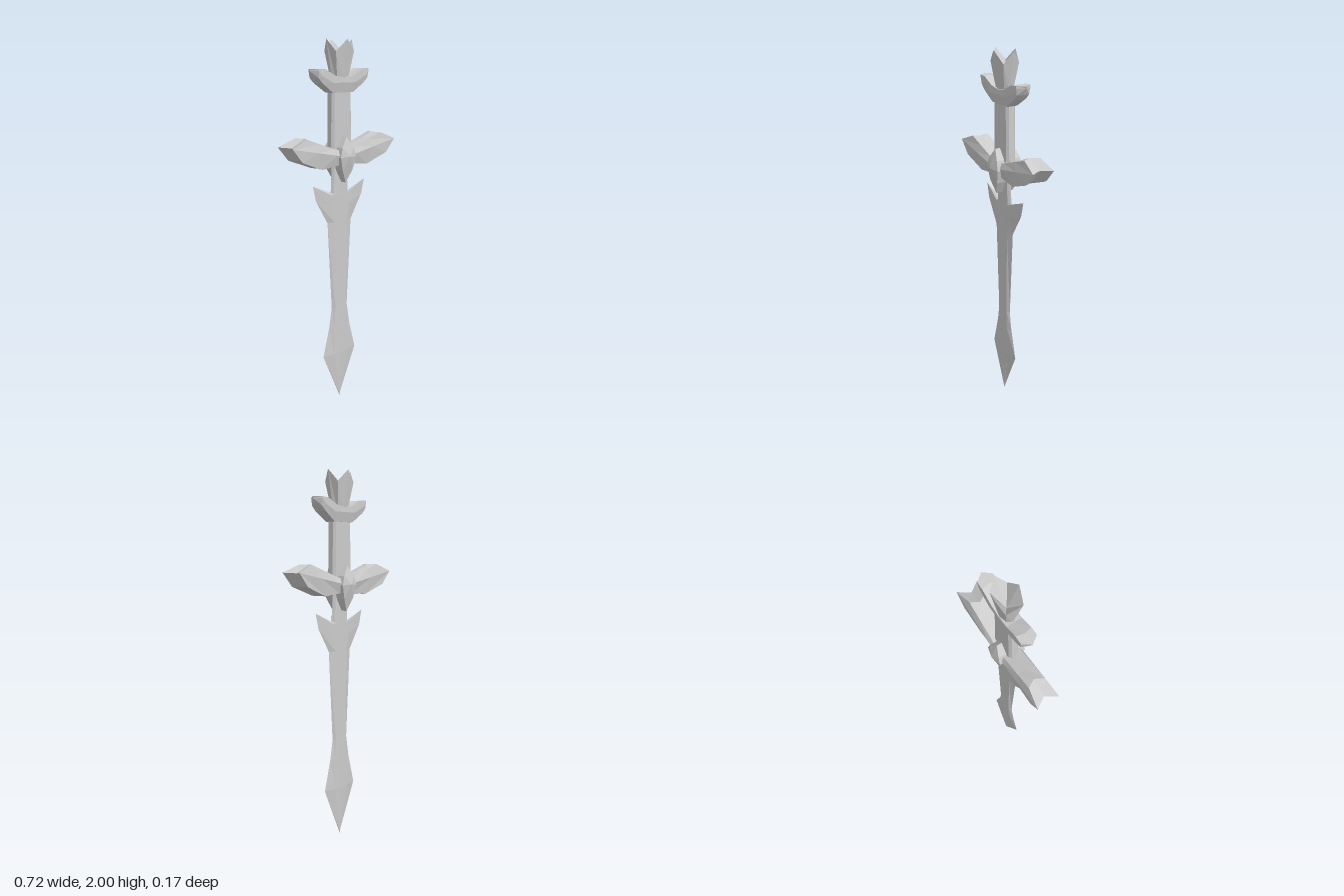
import * as THREE from 'three';

const material = new THREE.MeshStandardMaterial({ color: 0xcccccc, flatShading: true });

// Closed solid through rings of equal length; each end is a fan around its centre point.
function loft(name, rings, startCentre, endCentre) {
  const n = rings[0].length;
  const points = [...rings.flat(), startCentre, endCentre].map((p) => new THREE.Vector3(...p));
  const start = points.length - 2, end = points.length - 1, last = (rings.length - 1) * n;
  const faces = [];
  for (let j = 0; j < n; j++) {
    const k = (j + 1) % n;
    faces.push([start, k, j], [end, last + j, last + k]);
    for (let i = 0; i < rings.length - 1; i++) {
      const a = i * n + j, b = i * n + k;
      faces.push([a, b, b + n], [a, b + n, a + n]);
    }
  }
  // Turn all faces outwards using the signed volume
  let volume = 0;
  for (const [a, b, c] of faces) {
    volume += points[a].dot(new THREE.Vector3().crossVectors(points[b], points[c]));
  }
  if (volume < 0) faces.forEach((f) => f.reverse());
  const geometry = new THREE.BufferGeometry().setFromPoints(faces.flat().map((i) => points[i]));
  geometry.computeVertexNormals();
  const mesh = new THREE.Mesh(geometry, material);
  mesh.name = name;
  return mesh;
}

// Blade: sharp edges, bevels and a slight ridge down the middle
function blade() {
  // edge x, edge y, inner x, inner y
  const rows = [
    [0.005, 0.02, 0.002, 0.02], [0.12, 0.28, 0.05, 0.28], [0.075, 0.45, 0.045, 0.45],
    [0.057, 0.56, 0.04, 0.56], [0.085, 1.05, 0.045, 1.05], [0.165, 1.18, 0.06, 1.14],
    [0.185, 1.262, 0.062, 1.2], [0.062, 1.21, 0.05, 1.21], [0.05, 1.4, 0.04, 1.4],
  ];
  const rings = rows.map(([ex, ey, ix, iy], i) => {
    const z = i === 0 ? 0.003 : 0.012, ridge = i === 0 ? 0.004 : 0.015;
    return [[ex, ey, 0], [ix, iy, z], [0, iy, ridge], [-ix, iy, z],
      [-ex, ey, 0], [-ix, iy, -z], [0, iy, -ridge], [ix, iy, -z]];
  });
  return loft('blade', rings, [0, 0, 0], [0, 1.4, 0]);
}

// Arm running outwards along x, with a notched or pointed end.
// Each section holds [x, y, half depth] of the top, middle and bottom edges
// plus the x of its top and bottom centre points.
function arm(name, sections, tip, side) {
  const rings = sections.map(([t, m, b, topX, bottomX]) => [
    [topX, t[1], 0], [t[0], t[1], t[2]], m, b,
    [bottomX, b[1], 0], [b[0], b[1], -b[2]], [m[0], m[1], -m[2]], [t[0], t[1], -t[2]],
  ].map(([x, y, z]) => [x * side, y, z]));
  return loft(name, rings, [0, sections[0][1][1], 0], [tip[0] * side, tip[1], 0]);
}

const guardSections = [
  [[0, 1.43, 0.045], [0, 1.41, 0.06], [0, 1.37, 0.045], 0, 0],
  [[0.07, 1.45, 0.045], [0.07, 1.418, 0.06], [0.05, 1.363, 0.045], 0.07, 0.05],
  [[0.17, 1.484, 0.045], [0.2, 1.444, 0.06], [0.16, 1.352, 0.048], 0.16, 0.15],
  [[0.26, 1.515, 0.045], [0.36, 1.475, 0.06], [0.298, 1.403, 0.058], 0.235, 0.265],
];
const pommelSections = [
  [[0, 1.81, 0.04], [0, 1.785, 0.042], [0, 1.735, 0.03], 0, 0],
  [[0.06, 1.82, 0.04], [0.075, 1.785, 0.042], [0.07, 1.735, 0.03], 0.06, 0.07],
  [[0.13, 1.853, 0.04], [0.15, 1.82, 0.042], [0.145, 1.785, 0.035], 0.14, 0.16],
  [[0.17, 1.855, 0.04], [0.172, 1.845, 0.04], [0.17, 1.81, 0.035], 0.203, 0.18],
];

// Grip: flat bar with chamfered corners
function grip() {
  const ring = (y, x) => [[x, 0.015], [x - 0.012, 0.027], [-x + 0.012, 0.027], [-x, 0.015],
    [-x, -0.015], [-x + 0.012, -0.027], [x - 0.012, -0.027], [x, -0.015]].map(([a, z]) => [a, y, z]);
  return loft('grip', [ring(1.4, 0.072), ring(1.76, 0.067)], [0, 1.4, 0], [0, 1.76, 0]);
}

// Gem: pointed lozenge through the guard, ridged on front and back
function gem() {
  const ring = (s) => [[0, 1.51, 0.055 * s], [0.04, 1.455, 0.07 * s], [0.054, 1.405, 0.073 * s],
    [0.035, 1.335, 0.066 * s], [0, 1.268, 0.05 * s], [-0.035, 1.335, 0.066 * s],
    [-0.054, 1.405, 0.073 * s], [-0.04, 1.455, 0.07 * s]];
  return loft('gem', [ring(-1), ring(1)], [0, 1.41, -0.087], [0, 1.41, 0.087]);
}

// Crown: eight-sided cup with four points and a hollow middle
function crown() {
  const ring = (rx, rz, y, valley) => Array.from({ length: 8 }, (_, i) => {
    const a = i * Math.PI / 4;
    return [rx * Math.cos(a), i % 2 ? valley : y, rz * Math.sin(a)];
  });
  return loft('crown', [ring(0.048, 0.032, 1.78, 1.78), ring(0.088, 0.062, 2, 1.94)],
    [0, 1.78, 0], [0, 1.85, 0]);
}

export function createModel() {
  const model = new THREE.Group();
  model.name = 'sword';
  model.add(blade(), grip(), gem(), crown());
  for (const [side, label] of [[1, 'left'], [-1, 'right']]) {
    model.add(arm(label + 'Guard', guardSections, [0.32, 1.472], side));
    model.add(arm(label + 'Pommel', pommelSections, [0.2, 1.845], side));
  }
  return model;
}
